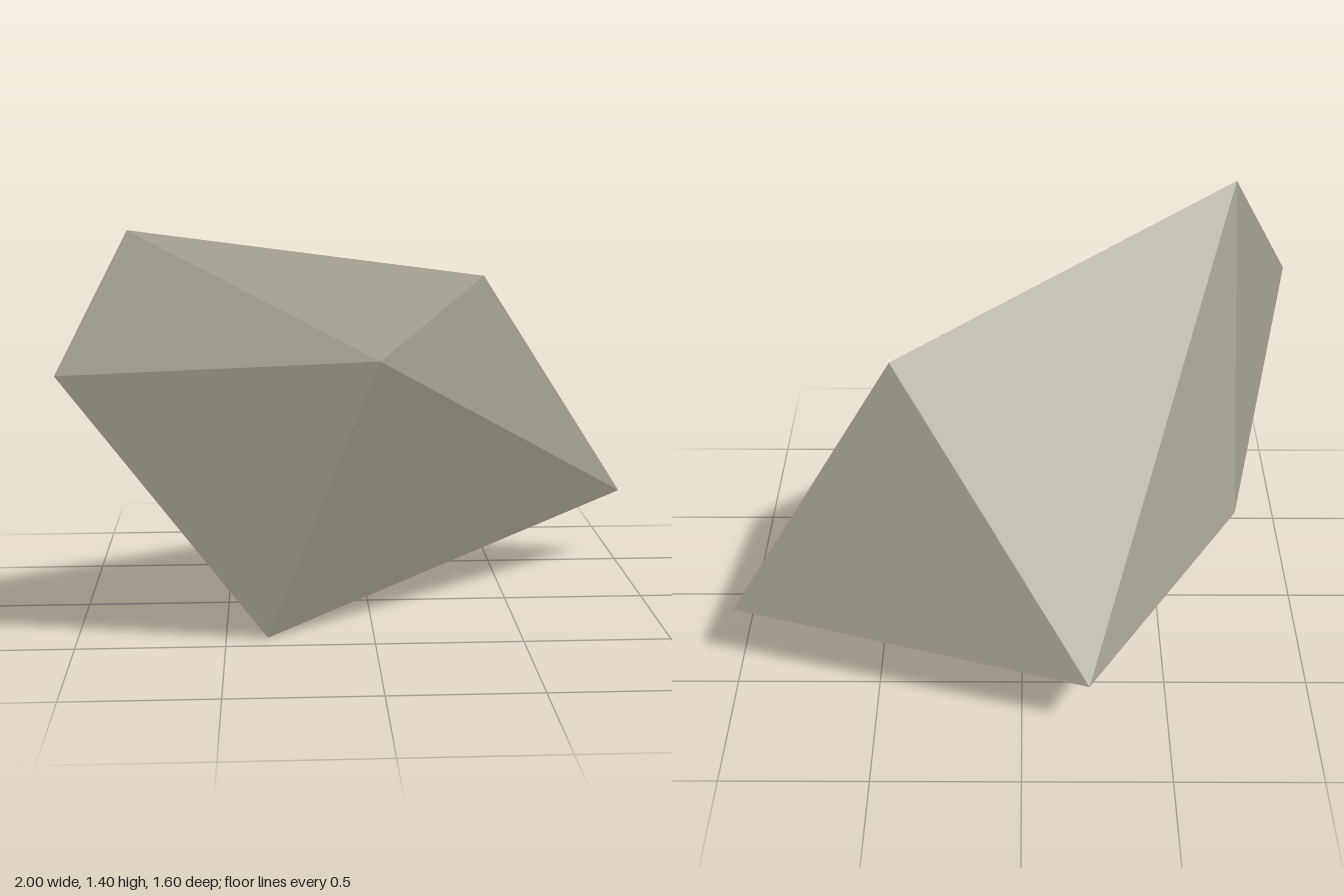
import * as THREE from 'three';

export function createModel() {
  const group = new THREE.Group();
  group.name = 'rock';
  const stone = new THREE.MeshStandardMaterial({ color: 0x9a9588 });
  stone.name = 'warm grey stone';

  // Corners of the faceted boulder
  const corners = {
    a: [-0.78, 1.4, 0.65], // peak
    b: [-1, 0.97, 0.8], // front right tip
    c: [0.02, 0.945, 0.425], // front ridge
    d: [0.44, 1.15, -0.24], // left shoulder
    e: [1, 0.287, -0.457], // left tip
    f: [-0.36, 0, 0.415], // foot
    g: [-0.76, 0.45, -0.1], // right side
    h: [-0.225, 0.235, -0.8], // back tip
  };

  // Triangular facets, anticlockwise from outside: front, top and back, underside
  const facets = [
    'abc', 'acd', 'ced', 'bfc', 'cfe',
    'adh', 'deh', 'ahg', 'bag',
    'efh', 'hfg', 'fbg',
  ];
  const points = [...facets.join('')].flatMap((key) => corners[key]);

  const geometry = new THREE.BufferGeometry();
  geometry.setAttribute('position', new THREE.Float32BufferAttribute(points, 3));
  geometry.computeVertexNormals(); // unshared corners keep the facets flat

  const boulder = new THREE.Mesh(geometry, stone);
  boulder.name = 'boulder';
  group.add(boulder);
  return group;
}
